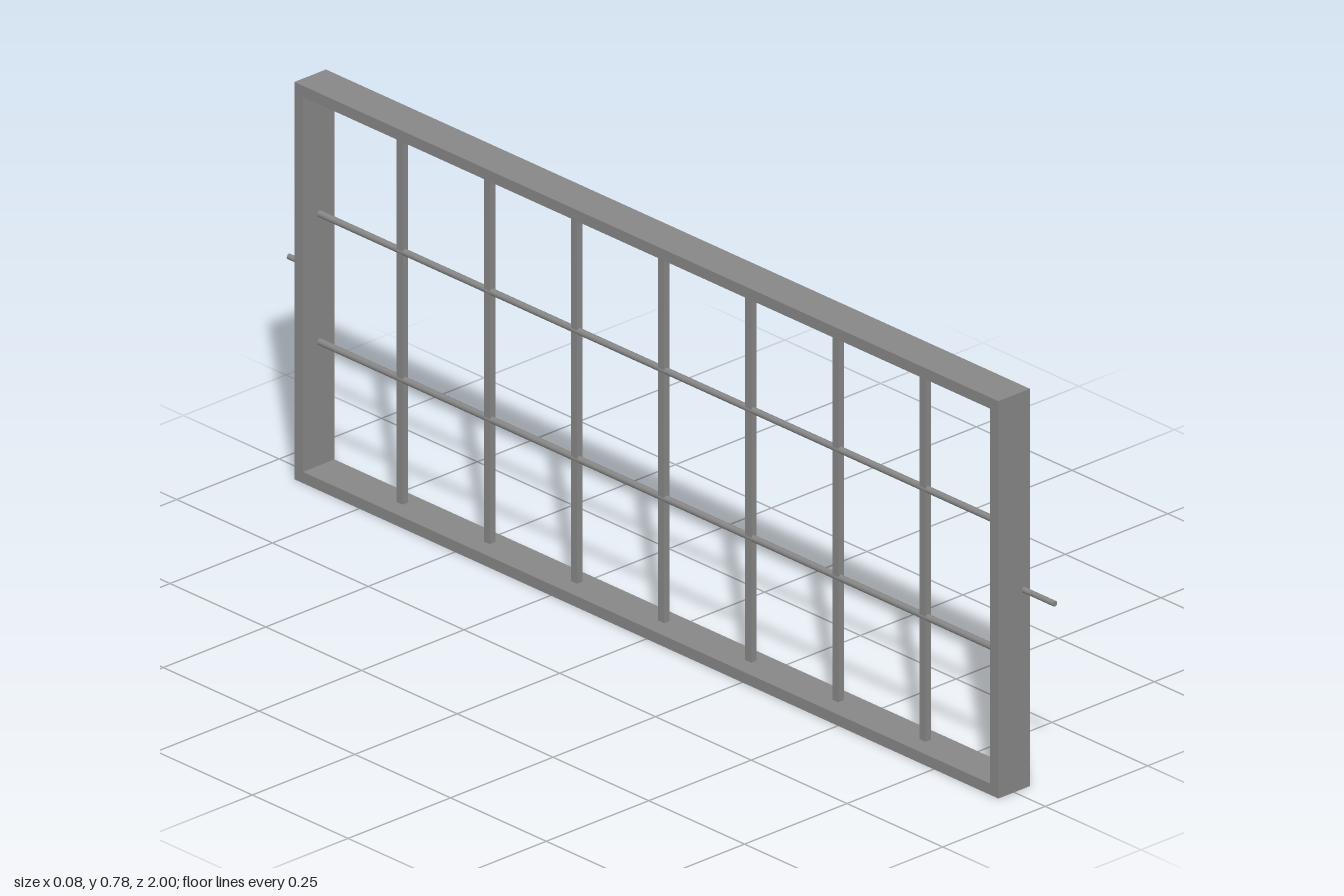
import * as THREE from 'three';

const W = 1.838, H = 0.782, D = 0.077, T = 0.022; // frame length, height, depth, wall

export function createModel() {
  const model = new THREE.Group();
  const material = new THREE.MeshStandardMaterial({ color: 0x868686 });

  function add(name, geometry, x, y, z) {
    const mesh = new THREE.Mesh(geometry, material);
    mesh.name = name;
    mesh.position.set(x, y, z);
    model.add(mesh);
  }

  // rectangular frame, drawn in the z-y plane and extruded across x
  const w = W / 2, iw = w - T;
  const outline = new THREE.Shape([[-w, 0], [w, 0], [w, H], [-w, H]].map(p => new THREE.Vector2(...p)));
  outline.holes.push(new THREE.Path(
    [[-iw, T], [-iw, H - T], [iw, H - T], [iw, T]].map(p => new THREE.Vector2(...p))));
  const frame = new THREE.ExtrudeGeometry(outline, { depth: D, bevelEnabled: false });
  add('frame', frame.translate(0, 0, -D / 2).rotateY(Math.PI / 2), 0, 0, 0);

  // seven flat upright bars
  const upright = new THREE.BoxGeometry(0.013, H - 2 * T, 0.016);
  for (let i = -3; i <= 3; i++) add('uprightBar', upright, 0.004, H / 2, i * 0.2275);

  // two long round cross bars
  const cross = new THREE.CylinderGeometry(0.0065, 0.0065, W - 2 * T, 16).rotateX(Math.PI / 2);
  for (const s of [-1, 1]) add('crossBar', cross, 0.003, H / 2 + s * 0.126, 0);

  // pivot pins on both ends, set towards the left face
  const length = 1 - w;
  const pin = new THREE.CylinderGeometry(0.0055, 0.0055, length, 16).rotateX(Math.PI / 2);
  for (const s of [-1, 1]) add('pivotPin', pin, 0.024, H / 2, s * (w + length / 2));

  return model;
}
